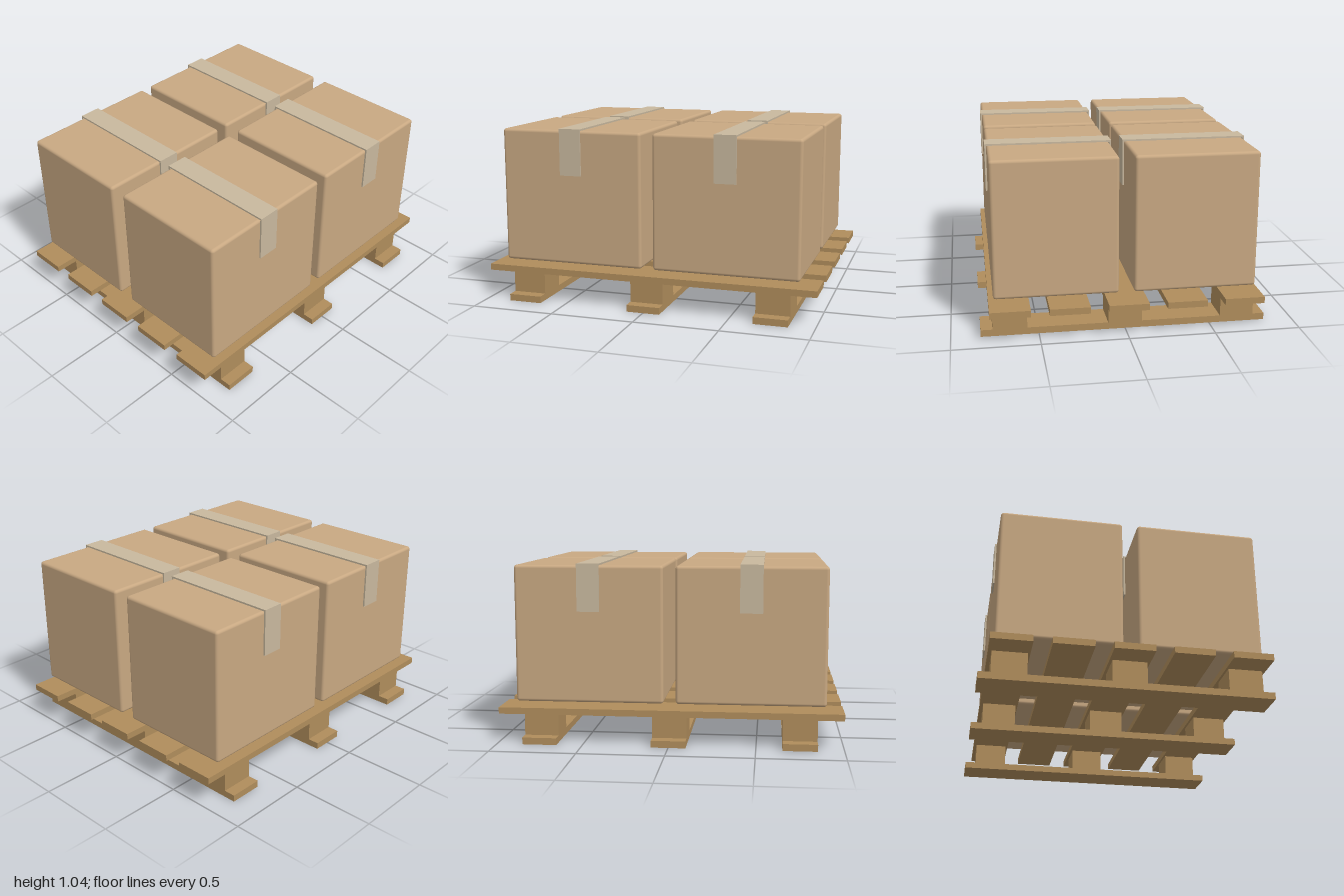
import * as THREE from 'three';
import { RoundedBoxGeometry } from 'three/addons/geometries/RoundedBoxGeometry.js';

const wood = new THREE.MeshStandardMaterial({ name: 'palletWood', color: 0xb08d5c });
const cardboard = new THREE.MeshStandardMaterial({ name: 'cardboard', color: 0xc8a882 });
const tapeTan = new THREE.MeshStandardMaterial({ name: 'packingTape', color: 0xc8b89e });

function add(parent, name, geometry, material, x, y, z) {
  const mesh = new THREE.Mesh(geometry, material);
  mesh.name = name;
  mesh.position.set(x, y, z);
  parent.add(mesh);
  return mesh;
}

// Pallet: three runners, nine blocks, five deck boards
function createPallet() {
  const pallet = new THREE.Group();
  pallet.name = 'pallet';
  const runner = new THREE.BoxGeometry(0.2, 0.04, 1.664);
  const block = new THREE.BoxGeometry(0.2, 0.127, 0.198);
  const board = new THREE.BoxGeometry(2, 0.038, 0.23);

  for (const x of [-0.75, 0, 0.75]) {
    add(pallet, 'runner', runner, wood, x, 0.02, 0);
    for (const z of [-0.665, 0, 0.665]) add(pallet, 'block', block, wood, x, 0.1035, z);
  }
  for (let i = -2; i <= 2; i++) add(pallet, 'deckBoard', board, wood, 0, 0.186, i * 0.334);
  return pallet;
}

// Carton: box with softened edges and a strip of tape folded over front and back
function createCarton() {
  const carton = new THREE.Group();
  carton.name = 'carton';
  const [w, h, d] = [0.864, 0.797, 0.712];
  const t = 0.01;
  const tapeWidth = 0.13;
  const flapHeight = 0.275;

  add(carton, 'cartonBox', new RoundedBoxGeometry(w, h, d, 3, 0.018), cardboard, 0, h / 2, 0);
  add(carton, 'tapeTop', new THREE.BoxGeometry(tapeWidth, t, d + 2 * t), tapeTan, 0, h + t / 2, 0);
  const flap = new THREE.BoxGeometry(tapeWidth, flapHeight - t, t);
  for (const s of [-1, 1]) {
    add(carton, 'tapeFlap', flap, tapeTan, 0, h - (flapHeight - t) / 2, s * (d + t) / 2);
  }
  return carton;
}

export function createModel() {
  const model = new THREE.Group();
  model.name = 'loadedPallet';
  model.add(createPallet());

  // Four cartons in a two by two layout
  for (const sx of [-1, 1]) {
    for (const sz of [-1, 1]) {
      const carton = createCarton();
      carton.position.set(sx * 0.467, 0.238, sz * 0.4);
      model.add(carton);
    }
  }
  return model;
}
